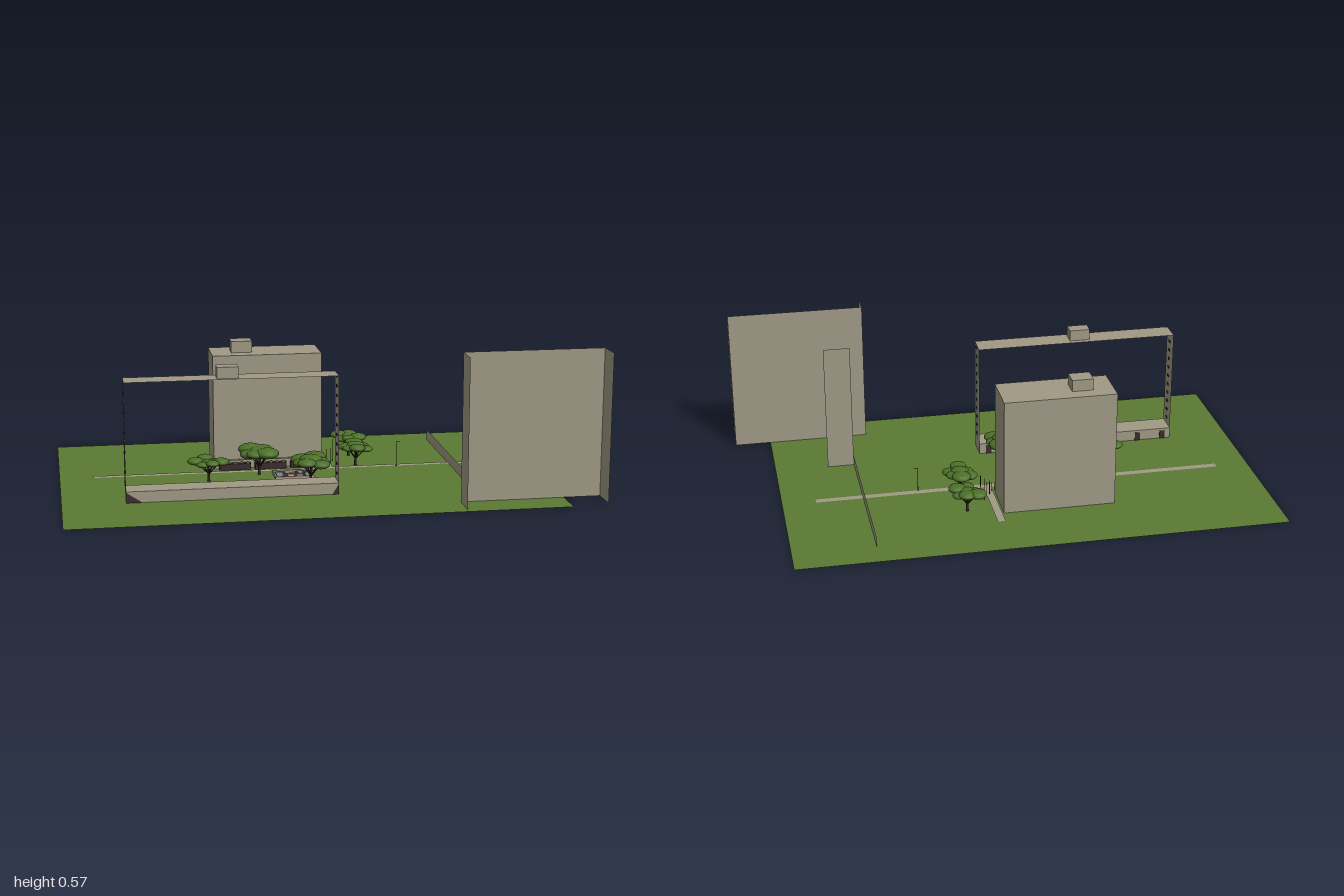
import * as THREE from 'three';

const mat = (name, color, side = THREE.DoubleSide) => {
  const m = new THREE.MeshStandardMaterial({ color, side });
  m.name = name;
  return m;
};

export function createModel() {
  const model = new THREE.Group();
  const tan = mat('concrete', 0xa09985);
  const grass = mat('grass', 0x5a7a33);
  const teal = mat('teal glass', 0x6c9083);
  const dark = mat('dark opening', 0x3a2b2e, THREE.FrontSide);
  const leaf = mat('foliage', 0x4c7028, THREE.FrontSide);
  const bark = mat('bark', 0x2f241a, THREE.FrontSide);
  const clay = mat('clay paving', 0xb09a88, THREE.FrontSide);

  const add = (name, geo, material, parent = model) => {
    const m = new THREE.Mesh(geo, material);
    m.name = name;
    parent.add(m);
    return m;
  };
  // Box given by its limits on each axis
  const box = (name, material, x0, x1, y0, y1, z0, z1, parent) => {
    const m = add(name, new THREE.BoxGeometry(x1 - x0, y1 - y0, z1 - z0), material, parent);
    m.position.set((x0 + x1) / 2, (y0 + y1) / 2, (z0 + z1) / 2);
    return m;
  };
  // Thin sheets facing along x, y or z
  const sheetX = (name, material, x, y0, y1, z0, z1, parent) => {
    const m = add(name, new THREE.PlaneGeometry(z1 - z0, y1 - y0), material, parent);
    m.rotation.y = Math.PI / 2;
    m.position.set(x, (y0 + y1) / 2, (z0 + z1) / 2);
  };
  const sheetY = (name, material, x0, x1, y, z0, z1, parent) => {
    const m = add(name, new THREE.PlaneGeometry(x1 - x0, z1 - z0), material, parent);
    m.rotation.x = -Math.PI / 2;
    m.position.set((x0 + x1) / 2, y, (z0 + z1) / 2);
  };
  const sheetZ = (name, material, x0, x1, y0, y1, z, parent) => {
    const m = add(name, new THREE.PlaneGeometry(x1 - x0, y1 - y0), material, parent);
    m.position.set((x0 + x1) / 2, (y0 + y1) / 2, z);
  };
  const rect = (Type, x0, x1, z0, z1) => new Type(
    [[x0, -z1], [x1, -z1], [x1, -z0], [x0, -z0]].map(p => new THREE.Vector2(...p)));
  // Rod between two points
  const rod = (name, a, b, r0, r1, material, parent) => {
    const d = b.clone().sub(a);
    const m = add(name, new THREE.CylinderGeometry(r1, r0, d.length(), 6), material, parent);
    m.position.copy(a).addScaledVector(d, 0.5);
    m.quaternion.setFromUnitVectors(new THREE.Vector3(0, 1, 0), d.normalize());
  };
  const v = (x, y, z) => new THREE.Vector3(x, y, z);

  // Lawn, open beneath the slab building
  const lawn = rect(THREE.Shape, -1, 0.86, -0.6, 0.6);
  lawn.holes.push(rect(THREE.Path, -0.39, 0.04, -0.322, -0.142));
  add('lawn', new THREE.ShapeGeometry(lawn), grass).rotation.x = -Math.PI / 2;

  // Paths
  sheetY('longPath', tan, -0.87, 0.73, 0.002, -0.102, -0.076);
  sheetY('sidePath', tan, 0.047, 0.077, 0.003, -0.39, -0.076);

  // Slab building: hollow, open at the bottom
  const slab = new THREE.Group();
  slab.name = 'slabBuilding';
  model.add(slab);
  for (const x of [-0.392, 0.04]) sheetX('endWall', tan, x, 0, 0.457, -0.322, -0.142, slab);
  for (const z of [-0.322, -0.142]) sheetZ('longWall', tan, -0.392, 0.04, 0, 0.457, z, slab);
  sheetY('roof', tan, -0.392, 0.04, 0.457, -0.322, -0.142, slab);
  sheetY('floor', tan, -0.392, 0.04, 0.04, -0.322, -0.142, slab);
  box('roofHouse', tan, -0.312, -0.23, 0.457, 0.502, -0.268, -0.2, slab);
  // Dark planted strip along its foot
  for (let i = 0; i < 3; i++) {
    const x = -0.372 + i * 0.142;
    box('entranceBase', dark, x, x + 0.125, 0, 0.025, -0.137, -0.114, slab);
    for (let j = 0; j < 5; j++) {
      const bush = add('bush', new THREE.SphereGeometry(0.007, 7, 5), leaf, slab);
      bush.position.set(x + 0.013 + j * 0.025, 0.025, -0.122);
    }
  }
  box('entranceCanopy', tan, -0.385, 0.035, 0.034, 0.037, -0.142, -0.134, slab);

  // Long frame building: end walls, roof and podium, open in between
  const frame = new THREE.Group();
  frame.name = 'frameBuilding';
  model.add(frame);
  for (const [x, s] of [[-0.762, -1], [0.036, 1]]) {
    sheetX('endWall', tan, x, 0, 0.455, 0.2, 0.293, frame);
    sheetX('glassStrip', teal, x + s * 0.001, 0.045, 0.445, 0.23, 0.268, frame);
    for (let i = 0; i < 11; i++) {
      const y = 0.066 + i * 0.0375;
      box('endWindow', dark, x - 0.003, x + 0.003, y, y + 0.009, 0.242, 0.257, frame);
    }
  }
  sheetY('roof', tan, -0.762, 0.036, 0.455, 0.2, 0.293, frame);
  box('roofHouse', tan, -0.418, -0.338, 0.455, 0.498, 0.222, 0.275, frame);
  sheetY('podiumDeck', tan, -0.762, 0.036, 0.043, 0.2, 0.293, frame);
  for (const z of [0.2, 0.293]) sheetZ('podiumWall', tan, -0.762, 0.036, 0, 0.043, z, frame);
  // Dark slanted corners on the front
  for (const [x, dx] of [[-0.762, 0.06], [0.036, -0.025]]) {
    const tri = new THREE.Shape([[x, 0], [x + dx, 0], [x, 0.04]].map(p => new THREE.Vector2(...p)));
    add('podiumCorner', new THREE.ShapeGeometry(tri), dark, frame).position.z = 0.295;
  }
  // Openings along the inner side
  for (let i = 0; i < 8; i++) {
    const x = -0.74 + i * 0.104;
    box('podiumOpening', dark, x, x + 0.022, 0, 0.034, 0.197, 0.199, frame);
  }

  // Free-standing screen with two forward wings
  const screen = new THREE.Group();
  screen.name = 'screenWall';
  model.add(screen);
  sheetZ('screenBack', tan, 0.465, 1, 0, 0.566, 0.47, screen);
  for (const x of [0.465, 1]) sheetX('screenWing', tan, x, 0, 0.566, 0.47, 0.575, screen);

  // Low wall with a tall end panel
  sheetX('lowWall', tan, 0.548, 0, 0.042, -0.49, 0.2);
  sheetZ('tallPanel', tan, 0.548, 0.652, 0, 0.505, 0.2);

  // Small paved court
  const court = new THREE.Group();
  court.name = 'court';
  model.add(court);
  box('courtBase', dark, -0.172, -0.018, 0, 0.005, -0.052, 0.055, court);
  const rims = [[-0.172, -0.018, -0.052, -0.046], [-0.172, -0.018, 0.049, 0.055],
    [-0.172, -0.166, -0.046, 0.049], [-0.024, -0.018, -0.046, 0.049]];
  for (const [x0, x1, z0, z1] of rims) box('courtRim', clay, x0, x1, 0, 0.011, z0, z1, court);
  const tiles = [[-0.162, -0.135, -0.03, 0.035, teal], [-0.125, -0.085, -0.038, -0.012, clay],
    [-0.075, -0.055, -0.04, 0, teal], [-0.12, -0.095, 0.005, 0.04, clay],
    [-0.085, -0.06, 0.015, 0.04, clay], [-0.05, -0.03, -0.01, 0.04, teal]];
  for (const [x0, x1, z0, z1, m] of tiles) box('courtTile', m, x0, x1, 0.005, 0.008, z0, z1, court);

  // Thin posts and a street lamp
  for (const [x, z, h] of [[0.052, -0.14, 0.04], [0.065, -0.16, 0.06], [0.08, -0.17, 0.06],
    [0.093, -0.2, 0.09], [0.098, -0.15, 0.08]]) {
    rod('post', v(x, 0, z), v(x, h, z), 0.0015, 0.0012, bark);
  }
  rod('lampPost', v(0.332, 0, -0.08), v(0.332, 0.1, -0.08), 0.0012, 0.001, bark);
  rod('lampArm', v(0.332, 0.099, -0.08), v(0.347, 0.101, -0.08), 0.0009, 0.0009, bark);

  // Trees: centre x, z, spread, canopy height, blob radius, turn
  const trees = [[-0.43, 0.035, 0.052, 0.078, 0.032, 0.3], [-0.225, -0.035, 0.05, 0.09, 0.047, 1],
    [-0.045, 0.125, 0.055, 0.088, 0.044, 2], [0.173, -0.275, 0.045, 0.08, 0.034, 0.7],
    [0.172, -0.108, 0.046, 0.079, 0.036, 1.6]];
  const blob = new THREE.SphereGeometry(1, 14, 9);
  for (const [x, z, spread, h, r, turn] of trees) {
    const tree = new THREE.Group();
    tree.name = 'tree';
    tree.position.set(x, 0, z);
    model.add(tree);
    rod('trunk', v(0, 0, 0), v(0, 0.034, 0), 0.006, 0.0045, bark, tree);
    for (let i = 0; i < 7; i++) {
      const a = turn + i * Math.PI / 3;
      const d = i === 6 ? 0 : spread * (0.85 + 0.2 * Math.sin(i * 2.3 + turn));
      const s = r * (0.9 + 0.15 * Math.cos(i * 1.7 + turn));
      const y = h + 0.006 * Math.sin(i * 2 + turn);
      const top = v(Math.cos(a) * d, y, Math.sin(a) * d);
      const crown = add('canopy', blob, leaf, tree);
      crown.position.copy(top);
      crown.scale.set(s, s * 0.45, s);
      rod('branch', v(0, 0.03, 0), top, 0.003, 0.0015, bark, tree);
    }
  }
  return model;
}
